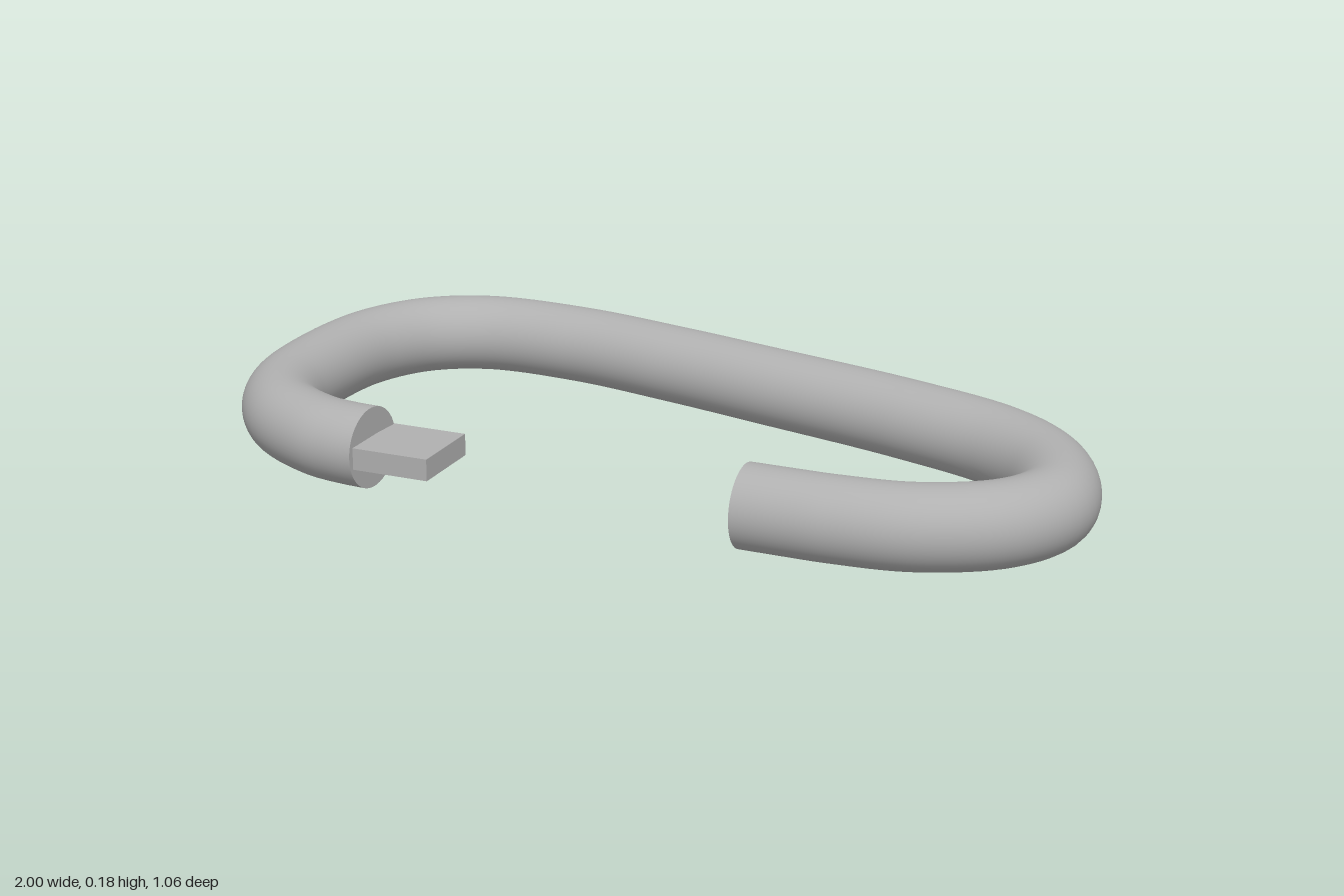
import * as THREE from 'three';

const R = 0.089; // rod radius, also the height of its axis

// Axis of the bent rod as [x, z], from the tongue end round to the plain end
const AXIS = [
  [-0.41, 0.421], [-0.47, 0.432], [-0.55, 0.435], [-0.70, 0.392], [-0.81, 0.285],
  [-0.885, 0.09], [-0.911, -0.1], [-0.87, -0.25], [-0.76, -0.355], [-0.53, -0.418],
  [-0.25, -0.435], [0, -0.438], [0.38, -0.438], [0.645, -0.41], [0.79, -0.34],
  [0.88, -0.235], [0.91, -0.14], [0.875, -0.02], [0.75, 0.10], [0.60, 0.162],
  [0.52, 0.184], [0.418, 0.21],
];

export function createModel() {
  const group = new THREE.Group();
  const steel = new THREE.MeshStandardMaterial({ color: 0xb0b0b0 });
  steel.name = 'steel grey';

  const add = (name, geometry) => {
    const mesh = new THREE.Mesh(geometry, steel);
    mesh.name = name;
    group.add(mesh);
    return mesh;
  };

  // Bent rod body
  const curve = new THREE.CatmullRomCurve3(AXIS.map(([x, z]) => new THREE.Vector3(x, R, z)));
  add('rodBody', new THREE.TubeGeometry(curve, 160, R, 48, false));

  // Flat discs closing both cut ends
  const addCap = (name, t, sign) => {
    const cap = add(name, new THREE.CircleGeometry(R, 48));
    const outward = curve.getTangentAt(t).multiplyScalar(sign);
    cap.position.copy(curve.getPointAt(t));
    cap.quaternion.setFromUnitVectors(new THREE.Vector3(0, 0, 1), outward);
  };
  addCap('tongueEndCap', 0, -1);
  addCap('plainEndCap', 1, 1);

  // Flat square tongue standing out of the left-hand cut end
  const tongue = add('tongue', new THREE.BoxGeometry(0.175, 0.048, 0.176));
  tongue.position.set(-0.324, 0.0915, 0.398);
  tongue.rotation.y = 0.255;

  return group;
}
